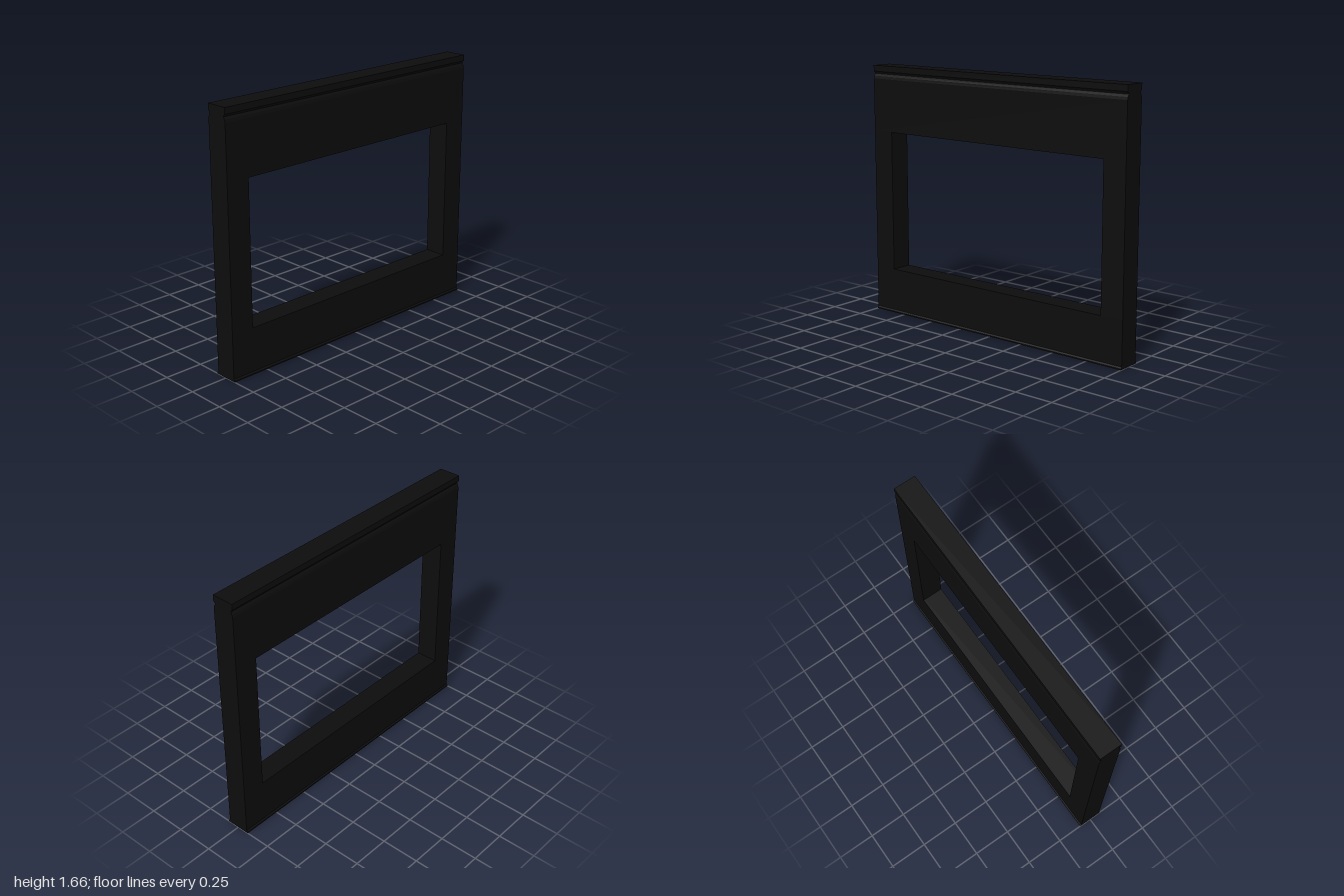
import * as THREE from 'three';

const WIDTH = 2, HALF_DEPTH = 0.073;
const SILL = 0.3, HEAD = 1.23, HALF_OPENING = 0.845;

// Mirrors a half cross-section [z, y] (bottom to top) and sweeps it along x
function sweepAlongX(half, length) {
  const right = half.map(([z, y]) => new THREE.Vector2(z, y));
  const left = half.map(([z, y]) => new THREE.Vector2(-z, y)).reverse();
  const geometry = new THREE.ExtrudeGeometry(new THREE.Shape([...right, ...left]), {
    depth: length, bevelEnabled: false,
  });
  return geometry.translate(0, 0, -length / 2).rotateY(Math.PI / 2);
}

export function createModel() {
  const group = new THREE.Group();
  group.name = 'windowWall';
  const material = new THREE.MeshStandardMaterial({ color: 0x0d0d0d });
  const add = (name, geometry) => {
    const mesh = new THREE.Mesh(geometry, material);
    mesh.name = name;
    group.add(mesh);
    return mesh;
  };

  // Wall below the opening, with a flared foot
  add('lowerWall', sweepAlongX([
    [0.082, 0], [0.082, 0.008], [HALF_DEPTH, 0.017], [HALF_DEPTH, SILL],
  ], WIDTH));

  // Wall above the opening: rounded shoulder, groove and square cap
  add('upperWall', sweepAlongX([
    [HALF_DEPTH, HEAD], [HALF_DEPTH, 1.578], [0.069, 1.595], [0.06, 1.61],
    [0.063, 1.617], [HALF_DEPTH, 1.626], [HALF_DEPTH, 1.665],
  ], WIDTH));

  // Posts either side of the opening
  const postWidth = WIDTH / 2 - HALF_OPENING;
  for (const [name, side] of [['leftPost', 1], ['rightPost', -1]]) {
    const post = add(name, new THREE.BoxGeometry(postWidth, HEAD - SILL, HALF_DEPTH * 2));
    post.position.set(side * (HALF_OPENING + postWidth / 2), (SILL + HEAD) / 2, 0);
  }

  return group;
}
